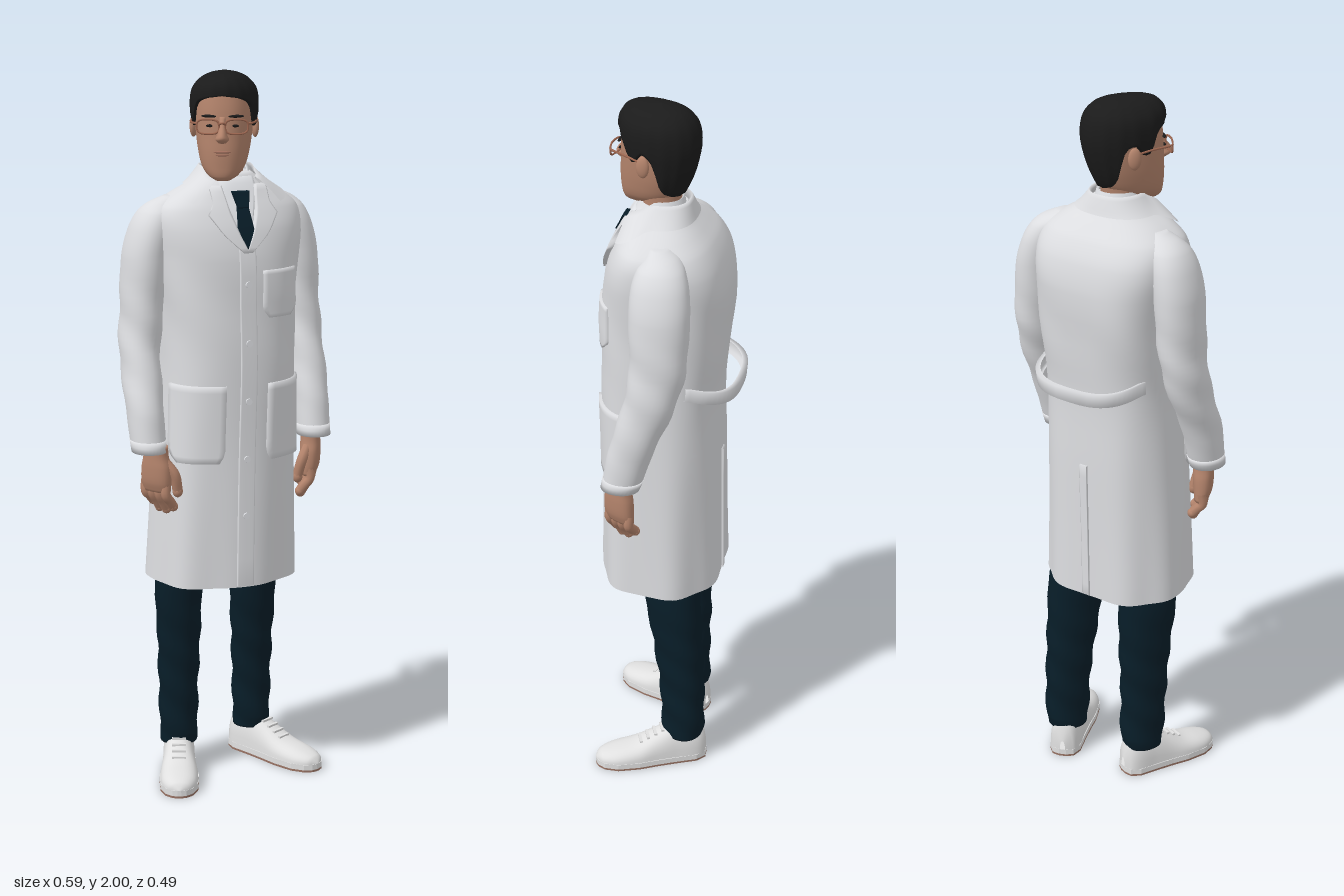
import * as THREE from 'three';

const mat = (name, color, side = THREE.FrontSide) =>
  Object.assign(new THREE.MeshStandardMaterial({ color, side }), { name });

// Grid surface from f(i, j); u runs anticlockwise seen from above, v runs upward
function grid(f, nu, nv, wrap = false) {
  const pos = [], idx = [], w = wrap ? nu : nu + 1;
  for (let j = 0; j <= nv; j++) for (let i = 0; i < w; i++) pos.push(...f(i, j));
  for (let j = 0; j < nv; j++) for (let i = 0; i < nu; i++) {
    const a = j * w + i, b = j * w + (i + 1) % w;
    idx.push(a, b, b + w, a, b + w, a + w);
  }
  const g = new THREE.BufferGeometry();
  g.setAttribute('position', new THREE.Float32BufferAttribute(pos, 3));
  g.setIndex(idx);
  g.computeVertexNormals();
  return g;
}

// Smooth interpolation of rows [y, ...values] at height y
function sample(rows, y) {
  let k = 0;
  while (k < rows.length - 2 && y > rows[k + 1][0]) k++;
  const h = rows[k + 1][0] - rows[k][0], s = Math.min(1, Math.max(0, (y - rows[k][0]) / h));
  const slope = (i, c) => {
    const p = rows[Math.max(0, i - 1)], q = rows[Math.min(rows.length - 1, i + 1)];
    return (q[c] - p[c]) / (q[0] - p[0]);
  };
  return rows[k].map((v, c) => c === 0 ? y :
    v * (2 * s ** 3 - 3 * s * s + 1) + rows[k + 1][c] * (3 * s * s - 2 * s ** 3) +
    h * ((s ** 3 - 2 * s * s + s) * slope(k, c) + (s ** 3 - s * s) * slope(k + 1, c)));
}

// Body skin from rows [y, halfWidth, frontDepth, backDepth, centreZ, centreX, backSquareness]
function skin(rows, n = 2, ripple = () => 0) {
  rows = rows.map(r => [...r, ...[0, 0, 0, 0, 0, 0, n].slice(r.length)]);
  const pow = (v, e) => Math.sign(v) * Math.abs(v) ** (2 / e);
  const at = (t, y, off = 0, scale = 1) => {
    const [, a, bf, bb, cz, cx, nb] = sample(rows, y), c = Math.cos(t), o = off + ripple(t, y), e = c > 0 ? n : nb;
    return [cx + scale * Math.max(0.001, a + o) * pow(Math.sin(t), e), y,
      cz + scale * Math.max(0.001, (c > 0 ? bf : bb) + o) * pow(c, e)];
  };
  const angle = (x, y) => Math.asin(Math.sign(x) * Math.min(1, Math.abs(x) / sample(rows, y)[1]) ** (n / 2));
  const geo = (seg = 40, k = 4, capLow = true, capHigh = true) => {
    const ys = [];
    rows.forEach((r, i) => { for (let s = 0; s < k && i < rows.length - 1; s++) ys.push([r[0] + (rows[i + 1][0] - r[0]) * s / k, 1]); });
    ys.push([rows.at(-1)[0], 1]);
    if (capLow) ys.unshift([rows[0][0], 0]);
    if (capHigh) ys.push([rows.at(-1)[0], 0]);
    return grid((i, j) => at(i / seg * 2 * Math.PI, ys[j][0], 0, ys[j][1]), seg, ys.length - 1, true);
  };
  // Raised panel lying on the skin, from rows [y, x0, x1]
  const drape = (panel, off, back = false) => {
    const e = [0, 0.004], mid = Array.from({ length: 11 }, (_, i) => (i + 1) / 12), st = [...e, ...mid, 0.996, 1];
    const last = st.length - 1, y0 = panel[0][0], y1 = panel.at(-1)[0];
    return grid((i, j) => {
      const y = y0 + (y1 - y0) * st[j];
      let k = 0;
      while (k < panel.length - 2 && y > panel[k + 1][0]) k++;
      const [p, q] = [panel[k], panel[k + 1]], s = (y - p[0]) / (q[0] - p[0]);
      const t0 = angle(p[1] + (q[1] - p[1]) * s, y), t1 = angle(p[2] + (q[2] - p[2]) * s, y);
      const t = t0 + (t1 - t0) * st[i];
      const edge = i === 0 || j === 0 || i === last || j === last;
      return at(back ? Math.PI - t : t, y, edge ? -0.003 : off);
    }, last, last);
  };
  return { at, geo, drape };
}

export function createModel() {
  const D = THREE.DoubleSide;
  const coat = mat('coat white', 0xdcdde0, D), shirt = mat('shirt white', 0xe6e8ec, D);
  const navy = mat('navy cloth', 0x081d28, D), skinTone = mat('skin', 0xb4846c), lip = mat('lips', 0xa2705e);
  const black = mat('hair black', 0x1b1b1b, D), frame = mat('spectacle frame', 0x9c6650);
  const shoeWhite = mat('shoe white', 0xe0e0e0, D), soleBrown = mat('sole brown', 0x987364);
  const model = new THREE.Group();
  const add = (parent, name, geo, m, p = [0, 0, 0], s = [1, 1, 1]) => {
    const mesh = new THREE.Mesh(geo, m);
    mesh.name = name; mesh.position.set(...p); mesh.scale.set(...s);
    parent.add(mesh);
    return mesh;
  };
  const group = (parent, name) => { const g = new THREE.Group(); g.name = name; parent.add(g); return g; };
  const ball = new THREE.SphereGeometry(1, 20, 14);
  const tube = (pts, r, n = 12) => new THREE.TubeGeometry(
    new THREE.CatmullRomCurve3(pts.map(p => new THREE.Vector3(...p))), n, r, 8);

  // Upper body, turned to its left of the head
  const body = group(model, 'body');
  body.rotation.y = THREE.MathUtils.degToRad(25);
  const torso = skin([
    [0.595, 0.207, 0.176, 0.165, -0.016, -0.014, 2.5], [0.80, 0.2, 0.168, 0.167, -0.011, -0.01, 2.5], [1.0, 0.192, 0.16, 0.17, -0.006, -0.005, 2.6],
    [1.2, 0.185, 0.156, 0.172, 0, 0, 2.8], [1.35, 0.188, 0.152, 0.186, 0, 0, 3.1], [1.5, 0.2, 0.145, 0.192, 0, 0, 3.3],
    [1.58, 0.208, 0.13, 0.18, 0, 0, 3.1], [1.635, 0.198, 0.108, 0.152, 0, 0, 2.8], [1.67, 0.158, 0.09, 0.12, 0, 0, 2.5],
    [1.7, 0.105, 0.076, 0.09], [1.73, 0.062, 0.056, 0.07]], 2.4,
  (t, y) => y < 1.2 ? 0.005 * Math.sin(7 * t + 1) * (1.2 - y) / 0.6 :
    0.003 * Math.sin(4 * t + 22 * y) * Math.max(0, Math.min(1, (1.6 - y) * 5, (y - 1.2) * 5)));
  add(body, 'coat', torso.geo(80, 4, false, true), coat);
  add(body, 'frontPlacket', torso.drape([[0.597, -0.022, 0.024], [1.54, -0.022, 0.024]], 0.006), coat);
  add(body, 'backVent', torso.drape([[0.597, -0.014, 0.006], [1.0, -0.014, 0.006]], 0.006, true), coat);
  add(body, 'chestPocket', torso.drape([[1.345, 0.065, 0.13], [1.37, 0.045, 0.155], [1.475, 0.045, 0.155]], 0.006), coat);
  for (const s of [-1, 1]) {
    const side = (y, a, b) => s > 0 ? [y, a, b] : [y, -b, -a];
    add(body, 'hipPocket', torso.drape([side(0.95, 0.075, 0.172), side(0.975, 0.06, 0.186), side(1.165, 0.06, 0.182)], 0.008), coat);
    add(body, 'lapel', torso.drape([side(1.525, -0.004, 0.01), side(1.575, 0.018, 0.062), side(1.635, 0.036, 0.1),
      side(1.645, 0.038, 0.078), side(1.7, 0.045, 0.075)], 0.013), coat);
  }
  for (const y of [0.8, 0.96, 1.12, 1.28, 1.44]) {
    const b = add(body, 'button', new THREE.CylinderGeometry(0.009, 0.009, 0.006, 14), shirt, torso.at(0, y, 0.007));
    b.rotation.x = Math.PI / 2;
  }
  // Coat collar, folded over and open at the front
  const fold = [[1.697, 0.009], [1.712, 0.014], [1.737, 0.017], [1.747, 0.011], [1.74, 0.004], [1.705, -0.004]];
  add(body, 'coatCollar', grid((i, j) => {
    const t = 0.6 + (2 * Math.PI - 1.2) * i / 40, open = Math.max(0, Math.cos(t));
    const y = fold[j][0] - 0.035 * open - (j === 0 ? 0.02 * open : 0);
    return torso.at(t, y, fold[j][1]);
  }, 40, fold.length - 1), coat);
  // Half belt hanging loose across the back
  const band = [[-0.018, -0.006], [-0.018, 1], [0.018, 1], [0.018, -0.006]];
  add(body, 'backBelt', grid((i, j) => {
    const u = i / 28 * 2 - 1, sag = Math.cos(u * Math.PI / 2) ** 1.4;
    return torso.at(Math.PI + u * 1.05, 1.25 - 0.025 * sag + band[j][0], j % 3 ? 0.006 + 0.052 * sag : -0.004 + 0.047 * sag);
  }, 28, 3), coat);
  // Shirt front and tie
  add(body, 'shirtFront', torso.drape([[1.53, -0.003, 0.003], [1.69, -0.05, 0.05], [1.72, -0.05, 0.05]], 0.004), shirt);
  add(body, 'tie', torso.drape([[1.535, -0.012, 0.012], [1.57, -0.024, 0.024], [1.65, -0.015, 0.015]], 0.011), navy);
  add(body, 'tieKnot', torso.drape([[1.642, -0.014, 0.014], [1.685, -0.023, 0.023]], 0.017), navy);
  const neckBand = skin([[1.68, 0.062, 0.066, 0.064], [1.755, 0.055, 0.052, 0.06]]);
  add(body, 'shirtCollar', grid((i, j) => {
    const t = 0.25 + (2 * Math.PI - 0.5) * i / 32, c = Math.max(0, Math.cos(t));
    return neckBand.at(t, [1.68, 1.75 - 0.04 * c, 1.745 - 0.04 * c][j], [0.012, 0.003, -0.004][j]);
  }, 32, 2), shirt);

  // Arms and hands; the left shoulder is drawn back, the right forearm swings forward
  for (const s of [-1, 1]) {
    const arm = group(body, s > 0 ? 'leftArm' : 'rightArm');
    const fwd = s > 0 ? 0 : 0.015, out = s > 0 ? 0 : 0.012, back = s > 0 ? 0.022 : 0.006;
    const row = (x, y, z, rx, rz) => [y, rx, rz, rz, z, s * x];
    const sleeve = skin([row(0.243 + out, 0.985, 0.05 + fwd, 0.046, 0.053), row(0.243 + out, 1.0, 0.045 + fwd, 0.047, 0.054),
      row(0.244 + out, 1.1, 0.02 + fwd, 0.05, 0.061), row(0.242 + out / 2, 1.25, -0.02 - back / 2, 0.054, 0.07), row(0.237, 1.35, -0.03 - back, 0.057, 0.075),
      row(0.226, 1.5, -0.032 - back, 0.06, 0.081), row(0.21, 1.575, -0.03 - back, 0.058, 0.077), row(0.19, 1.622, -0.028 - back, 0.054, 0.064),
      row(0.165, 1.648, -0.026 - back, 0.05, 0.045), row(0.14, 1.668, -0.024 - back / 2, 0.03, 0.025)], 2.1,
    (t, y) => 0.0025 * Math.sin(48 * y + 2 * t) * Math.max(0, Math.min(1, (1.5 - y) * 8, (y - 1.04) * 8)));
    add(arm, 'sleeve', sleeve.geo(32, 6), coat);
    add(arm, 'cuff', skin([row(0.243 + out, 0.984, 0.05 + fwd, 0.047, 0.054), row(0.243 + out, 1.016, 0.041 + fwd, 0.049, 0.057)], 2.1).geo(32, 2), coat);
    const hand = group(arm, 'hand');
    hand.position.set(s * (0.232 + out / 2), 0, 0.056 + fwd);
    hand.rotation.y = -s * 0.5;
    add(hand, 'palm', skin([[0.872, 0.02, 0.045, 0.045, 0, -s * 0.004], [0.9, 0.026, 0.049, 0.046], [0.94, 0.029, 0.047, 0.043],
      [0.97, 0.028, 0.038, 0.036], [1.0, 0.027, 0.035, 0.034]], 2.3).geo(24, 4), skinTone);
    for (let f = 0; f < 4; f++) {
      const z = 0.035 - f * 0.024, end = [0.828, 0.818, 0.82, 0.836][f], r = 0.0135;
      add(hand, 'finger', tube([[0, 0.9, z], [s * 0.002, 0.865, z + 0.002], [-s * 0.012, (end + 0.865) / 2, z + 0.004], [-s * 0.026, end, z + 0.004]], r), skinTone);
      add(hand, 'fingertip', ball, skinTone, [-s * 0.026, end, z + 0.004], [r, r, r]);
    }
    add(hand, 'thumb', tube([[-s * 0.006, 0.955, 0.028], [-s * 0.02, 0.92, 0.05], [-s * 0.032, 0.875, 0.05]], 0.0145), skinTone);
    add(hand, 'thumbTip', ball, skinTone, [-s * 0.032, 0.873, 0.05], [0.0145, 0.018, 0.0145]);
  }

  // Legs and shoes: rows along the shoe are [z, halfWidth, height]
  const last = [[-0.064, 0.008, 0.05], [-0.057, 0.03, 0.095], [-0.03, 0.044, 0.12], [0.03, 0.046, 0.118], [0.08, 0.049, 0.093],
    [0.13, 0.054, 0.068], [0.19, 0.051, 0.054], [0.225, 0.036, 0.044], [0.24, 0.018, 0.034], [0.244, 0.003, 0.022]];
  const outline = new THREE.Shape([...last.map(r => [r[1] + 0.002, -r[0]]), ...[...last].reverse().map(r => [-r[1] - 0.002, -r[0]])]
    .map(p => new THREE.Vector2(...p)));
  const slab = h => new THREE.ExtrudeGeometry(outline, { depth: h, bevelEnabled: false }).rotateX(-Math.PI / 2);
  for (const [side, x, z, topX, topZ, turn, long] of [['left', 0.066, -0.14, 0.07, -0.1, 50, 1.07], ['right', -0.138, 0.0, -0.134, 0.018, 4, 1]]) {
    const leg = skin([[0.085, 0.05, 0.06, 0.058, z, x], [0.12, 0.054, 0.064, 0.062, z, x], [0.25, 0.056, 0.066, 0.066, z + 0.005, x],
      [0.4, 0.061, 0.074, 0.074, (z + topZ) / 2, (x + topX) / 2], [0.58, 0.067, 0.085, 0.082, topZ, topX], [0.66, 0.056, 0.07, 0.06, topZ, topX * 0.9]], 2.2,
    (t, y) => 0.003 * Math.sin(55 * y + 2 * t) * Math.max(0, Math.min(1, (0.6 - y) * 5)));
    add(model, side + 'TrouserLeg', leg.geo(32, 7), navy);
    const shoe = group(model, side + 'Shoe');
    shoe.position.set(x, 0, z);
    shoe.rotation.y = THREE.MathUtils.degToRad(turn);
    shoe.scale.z = long;
    add(shoe, 'sole', slab(0.006), soleBrown);
    add(shoe, 'soleRim', slab(0.016), shoeWhite, [0, 0.006, 0]);
    add(shoe, 'upper', grid((i, j) => {
      const [zz, w, h] = sample(last, last[0][0] + (last.at(-1)[0] - last[0][0]) * j / 40), a = i / 16 * Math.PI;
      return [-Math.max(0.002, w) * Math.sign(Math.cos(a)) * Math.abs(Math.cos(a)) ** 0.85, 0.018 + (h - 0.018) * Math.sin(a) ** 0.8, zz];
    }, 16, 40), shoeWhite);
    for (let k = 0; k < 4; k++) add(shoe, 'lace', new THREE.BoxGeometry(0.04, 0.006, 0.008), shoeWhite, [0, 0.105 - k * 0.011, 0.06 + k * 0.02]);
  }

  // Head, facing straight ahead
  const head = group(model, 'head');
  head.position.x = -0.006;
  add(head, 'neck', skin([[1.67, 0.053, 0.05, 0.055, 0, 0.006], [1.72, 0.05, 0.05, 0.055, 0.003], [1.8, 0.055, 0.06, 0.06]]).geo(28, 3), skinTone);
  const face = skin([[1.714, 0.02, 0.027, 0.03, 0.082], [1.726, 0.04, 0.047, 0.06, 0.07], [1.75, 0.058, 0.073, 0.09, 0.047],
    [1.79, 0.069, 0.093, 0.1, 0.029], [1.83, 0.075, 0.103, 0.1, 0.017], [1.87, 0.078, 0.108, 0.1, 0.01], [1.92, 0.079, 0.113, 0.1],
    [1.96, 0.07, 0.1, 0.085], [1.985, 0.04, 0.06, 0.05]], 2.25);
  add(head, 'face', face.geo(40, 4), skinTone);
  add(head, 'nose', skin([[1.816, 0.01, 0.012, 0.02, 0.122], [1.826, 0.018, 0.028, 0.02, 0.125], [1.838, 0.014, 0.027, 0.02, 0.126],
    [1.86, 0.009, 0.014, 0.02, 0.122], [1.885, 0.008, 0.006, 0.02, 0.114]]).geo(20, 4), skinTone);
  add(head, 'upperLip', ball, lip, [0, 1.792, 0.119], [0.023, 0.004, 0.005]);
  add(head, 'lowerLip', ball, lip, [0, 1.784, 0.117], [0.02, 0.005, 0.006]);

  // Hair cap with a hairline that drops from brow to sideburn to nape
  const hair = skin([[1.75, 0.05, 0.05, 0.058], [1.80, 0.073, 0.1, 0.083], [1.85, 0.085, 0.108, 0.1], [1.9, 0.092, 0.119, 0.108],
    [1.95, 0.087, 0.124, 0.1], [1.98, 0.063, 0.108, 0.077], [1.994, 0.034, 0.07, 0.045], [2.0, 0.0005, 0.0005, 0.0005]], 2.1);
  const hairline = [[0, 1.94], [0.6, 1.93], [0.95, 1.91], [1.15, 1.86], [1.4, 1.86], [1.55, 1.885], [1.85, 1.87], [2.1, 1.79], [2.6, 1.765], [3.15, 1.762]];
  add(head, 'hair', grid((i, j) => {
    const t = i / 64 * 2 * Math.PI, low = sample(hairline, Math.min(t, 2 * Math.PI - t))[1];
    const s = Math.max(0, j - 1) / 24;
    return hair.at(t, low + (2.0 - low) * Math.sin(s * Math.PI / 2), j === 0 ? -0.016 : 0.0015 * Math.sin(15 * t) * (1 - s));
  }, 64, 25, true), black);

  // Ears, eyes, brows and spectacles
  const glasses = group(head, 'glasses');
  for (const s of [-1, 1]) {
    add(head, 'ear', ball, skinTone, [s * 0.083, 1.85, -0.002], [0.01, 0.03, 0.018]).rotation.y = s * 0.3;
    add(head, 'eye', ball, black, [s * 0.033, 1.861, 0.111], [0.011, 0.004, 0.004]);
    add(head, 'eyebrow', ball, black, [s * 0.036, 1.886, 0.108], [0.022, 0.004, 0.006]).rotation.y = s * 0.3;
    const w = 0.03, h = 0.019, rim = [];
    for (let k = 0; k < 24; k++) {
      const a = k / 24 * 2 * Math.PI, q = v => Math.sign(v) * Math.abs(v) ** 0.65, x = 0.038 + w * q(Math.cos(a));
      rim.push(new THREE.Vector3(s * x, 1.86 + h * q(Math.sin(a)), 0.131 - 2.6 * x * x));
    }
    add(glasses, 'rim', new THREE.TubeGeometry(new THREE.CatmullRomCurve3(rim, true), 48, 0.0027, 6, true), frame);
    add(glasses, 'templeArm', tube([[s * 0.068, 1.868, 0.119], [s * 0.08, 1.869, 0.107], [s * 0.088, 1.869, 0.05], [s * 0.088, 1.862, -0.005]], 0.003, 20), frame);
  }
  add(glasses, 'bridge', tube([[-0.01, 1.866, 0.13], [0, 1.87, 0.137], [0.01, 1.866, 0.13]], 0.003), frame);
  return model;
}
